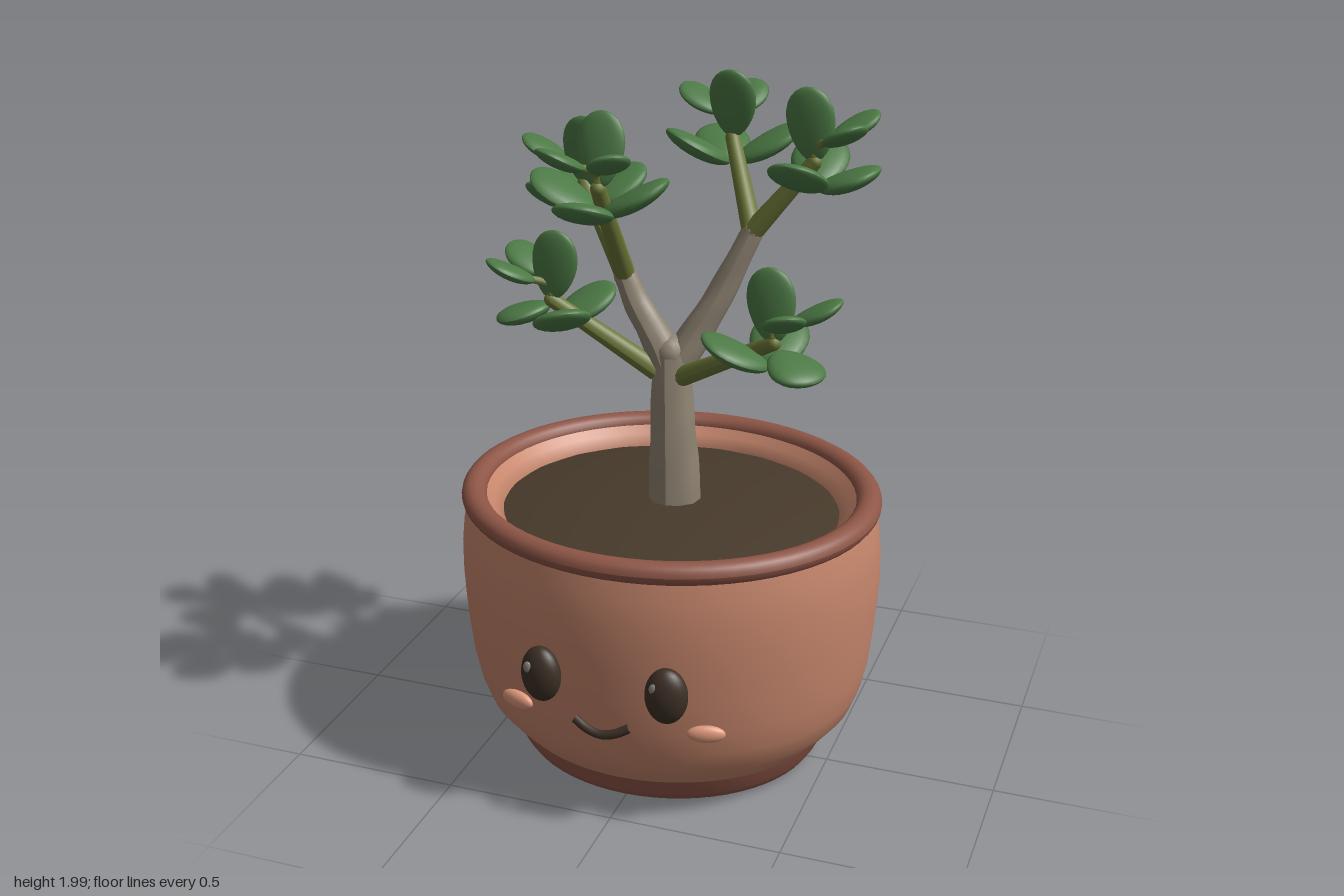
import * as THREE from 'three';
import { mergeGeometries } from 'three/addons/utils/BufferGeometryUtils.js';

const V = (x, y, z) => new THREE.Vector3(x, y, z);

function material(name, color) {
  const m = new THREE.MeshStandardMaterial({ color });
  m.name = name;
  return m;
}

function add(parent, name, geometry, mat) {
  const mesh = new THREE.Mesh(geometry, mat);
  mesh.name = name;
  parent.add(mesh);
  return mesh;
}

// Ellipsoid with the given centre and radii
function ellipsoid(parent, name, mat, center, radii) {
  const mesh = add(parent, name, new THREE.SphereGeometry(1, 28, 18), mat);
  mesh.position.set(...center);
  mesh.scale.set(...radii);
  return mesh;
}

function lathe(profile, segments = 64) {
  return new THREE.LatheGeometry(profile.map(([r, y]) => new THREE.Vector2(r, y)), segments);
}

// Tube along a curve whose radius runs from r0 to r1, with optional bark ridges and a round end
function taperTube(points, r0, r1, ridge = 0) {
  const rows = 14, sides = 12;
  const curve = new THREE.CatmullRomCurve3(points);
  const tube = new THREE.TubeGeometry(curve, rows, 1, sides);
  const pos = tube.attributes.position, v = V(0, 0, 0);
  for (let i = 0; i < pos.count; i++) {
    const t = Math.floor(i / (sides + 1)) / rows;
    const angle = ((i % (sides + 1)) / sides) * Math.PI * 2;
    const c = curve.getPointAt(t);
    const bark = 1 + ridge * (Math.sin(4 * angle) + 0.7 * Math.sin(t * 17 + 2 * angle));
    v.fromBufferAttribute(pos, i).sub(c).multiplyScalar(THREE.MathUtils.lerp(r0, r1, t) * bark).add(c);
    pos.setXYZ(i, v.x, v.y, v.z);
  }
  tube.computeVertexNormals();
  const cap = new THREE.SphereGeometry(r1, sides, 8).translate(...points[points.length - 1].toArray());
  return mergeGeometries([tube, cap]);
}

// Fleshy leaf: unit length along +y, narrower at its base, tip curling toward +z
function leafGeometry() {
  const g = new THREE.SphereGeometry(0.5, 20, 14);
  const pos = g.attributes.position;
  for (let i = 0; i < pos.count; i++) {
    const u = pos.getY(i) + 0.5;
    const taper = 0.72 + 0.4 * u - 0.08 * u * u;
    pos.setXYZ(i, pos.getX(i) * taper, u, pos.getZ(i) + 0.4 * u * u - 0.2 * u);
  }
  g.computeVertexNormals();
  return g;
}

export function createModel() {
  const model = new THREE.Group();
  model.name = 'pottedSucculent';
  const clay = material('terracotta', 0xc6866c);
  const darkClay = material('darkTerracotta', 0x8e5647);
  const soilMat = material('soil', 0x473a2b);
  const barkMat = material('bark', 0x8d8271);
  const stemMat = material('oliveStem', 0x6b7637);
  const leafMat = material('leafGreen', 0x4c7945);
  const faceMat = material('faceBrown', 0x3d3026);
  const shineMat = material('eyeShine', 0x8a837b);
  const cheekMat = material('cheekPeach', 0xe0997c);

  // Oval pot: foot with drain hole, body, rolled rim, inner wall and gently domed soil
  const pot = new THREE.Group();
  pot.name = 'pot';
  pot.scale.z = 0.918;
  pot.position.z = -0.0165;
  model.add(pot);
  add(pot, 'potFoot', lathe([[0.125, 0.08], [0.15, 0.05], [0.2, 0.025], [0.27, 0.006], [0.34, 0],
    [0.41, 0.002], [0.445, 0.015], [0.462, 0.04], [0.484, 0.092]]), darkClay);
  add(pot, 'potBody', lathe([[0.484, 0.092], [0.52, 0.13], [0.557, 0.175], [0.58, 0.235], [0.597, 0.31],
    [0.607, 0.4], [0.615, 0.49], [0.619, 0.57], [0.618, 0.65], [0.611, 0.72], [0.595, 0.79]]), clay);
  const rim = [];
  for (let i = 0; i <= 16; i++) {
    const a = (i / 16) * Math.PI * 2;
    rim.push([0.579 + 0.037 * Math.cos(a), 0.8 + 0.033 * Math.sin(a)]);
  }
  add(pot, 'potRim', lathe(rim), darkClay);
  add(pot, 'potInside', lathe([[0.55, 0.81], [0.522, 0.78], [0.487, 0.74], [0.48, 0.4], [0.44, 0.15],
    [0.125, 0.14], [0.125, 0.08]]), clay);
  add(pot, 'soil', lathe([[0.5, 0.748], [0.4, 0.767], [0.25, 0.784], [0.1, 0.792], [0, 0.793]], 20), soilMat);

  // Face
  const face = new THREE.Group();
  face.name = 'face';
  model.add(face);
  for (const s of [-1, 1]) {
    const eye = ellipsoid(face, 'eye', faceMat, [s * 0.183, 0.456, 0.54], [0.06, 0.083, 0.042]);
    eye.rotation.y = s * 0.15;
    ellipsoid(face, 'eyeShine', shineMat, [s * 0.183 - 0.026, 0.487, 0.571], [0.013, 0.017, 0.007]);
    const cheek = ellipsoid(face, 'cheek', cheekMat, [s * 0.28, 0.327, 0.489], [0.054, 0.026, 0.018]);
    cheek.rotation.y = s * 0.3;
  }
  const smile = new THREE.CatmullRomCurve3([V(-0.08, 0.34, 0.551), V(-0.04, 0.32, 0.56),
    V(0, 0.311, 0.562), V(0.04, 0.32, 0.56), V(0.08, 0.34, 0.551)]);
  add(face, 'mouth', new THREE.TubeGeometry(smile, 20, 0.013, 10), faceMat);

  // Trunk and two woody branches
  const forkLeft = V(-0.148, 1.43, -0.05), forkRight = V(0.2, 1.57, -0.13);
  add(model, 'trunk', taperTube([V(0.016, 0.73, -0.008), V(0.012, 0.9, -0.01), V(0.002, 1.08, -0.022),
    V(-0.006, 1.22, -0.035)], 0.084, 0.055, 0.03), barkMat);
  add(model, 'leftBranch', taperTube([V(0, 1.16, -0.03), V(-0.05, 1.26, -0.035), V(-0.11, 1.35, -0.045),
    forkLeft], 0.054, 0.034, 0.04), barkMat);
  add(model, 'rightBranch', taperTube([V(-0.005, 1.16, -0.03), V(0.05, 1.26, -0.06), V(0.11, 1.37, -0.09),
    V(0.165, 1.49, -0.115), forkRight], 0.052, 0.031, 0.04), barkMat);

  const leafShape = leafGeometry();
  function leaf(parent, name, base, dir, face, size) {
    const y = dir.clone().normalize();
    const x = y.clone().cross(face).normalize();
    const mesh = add(parent, name, leafShape, leafMat);
    mesh.quaternion.setFromRotationMatrix(new THREE.Matrix4().makeBasis(x, y, x.clone().cross(y)));
    mesh.position.copy(base);
    mesh.scale.set(size[1], size[0], size[2]);
  }

  // Each green stem ends in three large leaves, two small ones and an upright one.
  // large: [angle from the stem's heading, upward tilt, length] of each large leaf
  const up = V(0, 1, 0), front = V(0, 0, 1);
  const highLeaves = [[-97, 0.45, 0.21], [0, 0.3, 0.185], [97, 0.45, 0.21]];
  const lowLeaves = [[-125, 0.4, 0.205], [5, -0.35, 0.16], [135, 0.4, 0.205]];
  function sprig(start, tip, degrees, large) {
    const group = new THREE.Group();
    group.name = 'sprig';
    model.add(group);
    add(group, 'stem', taperTube([start, start.clone().lerp(tip, 0.5), tip], 0.03, 0.021), stemMat);
    const azimuth = THREE.MathUtils.degToRad(degrees);
    const spread = (offset, tilt) => {
      const a = azimuth + THREE.MathUtils.degToRad(offset);
      return V(Math.cos(a) * Math.cos(tilt), Math.sin(tilt), Math.sin(a) * Math.cos(tilt));
    };
    const high = tip.clone().add(V(0, 0.04, 0));
    for (const [offset, tilt, length] of large) {
      const d = spread(offset, tilt);
      const base = tip.clone().add(V(0, tilt < 0 ? -0.02 : -0.075, 0));
      leaf(group, 'largeLeaf', base.addScaledVector(d, 0.01), d, up, [length, 0.18, 0.055]);
    }
    for (const offset of [-35, 35]) {
      const d = spread(offset, 0.41);
      leaf(group, 'smallLeaf', high.clone().addScaledVector(d, 0.05), d, up, [0.152, 0.128, 0.042]);
      // short stalk carrying the small leaf
      add(group, 'leafStalk', taperTube([tip, high, high.clone().addScaledVector(d, 0.07)], 0.015, 0.01), stemMat);
    }
    const lean = V(-0.12 * Math.cos(azimuth), 1, -0.26 * Math.sin(azimuth));
    leaf(group, 'uprightLeaf', tip, lean, front, [0.207, 0.15, 0.05]);
  }
  sprig(forkLeft, V(-0.145, 1.735, 0.16), 90, highLeaves);
  sprig(forkLeft, V(-0.315, 1.655, -0.165), 212, highLeaves);
  sprig(forkRight, V(0.37, 1.78, -0.138), 0, highLeaves);
  sprig(forkRight, V(0.09, 1.795, -0.285), 238, highLeaves);
  sprig(V(0.03, 1.16, -0.01), V(0.35, 1.355, 0.155), 27, lowLeaves);
  sprig(V(-0.04, 1.17, -0.01), V(-0.335, 1.37, 0.05), 178, lowLeaves);

  return model;
}
